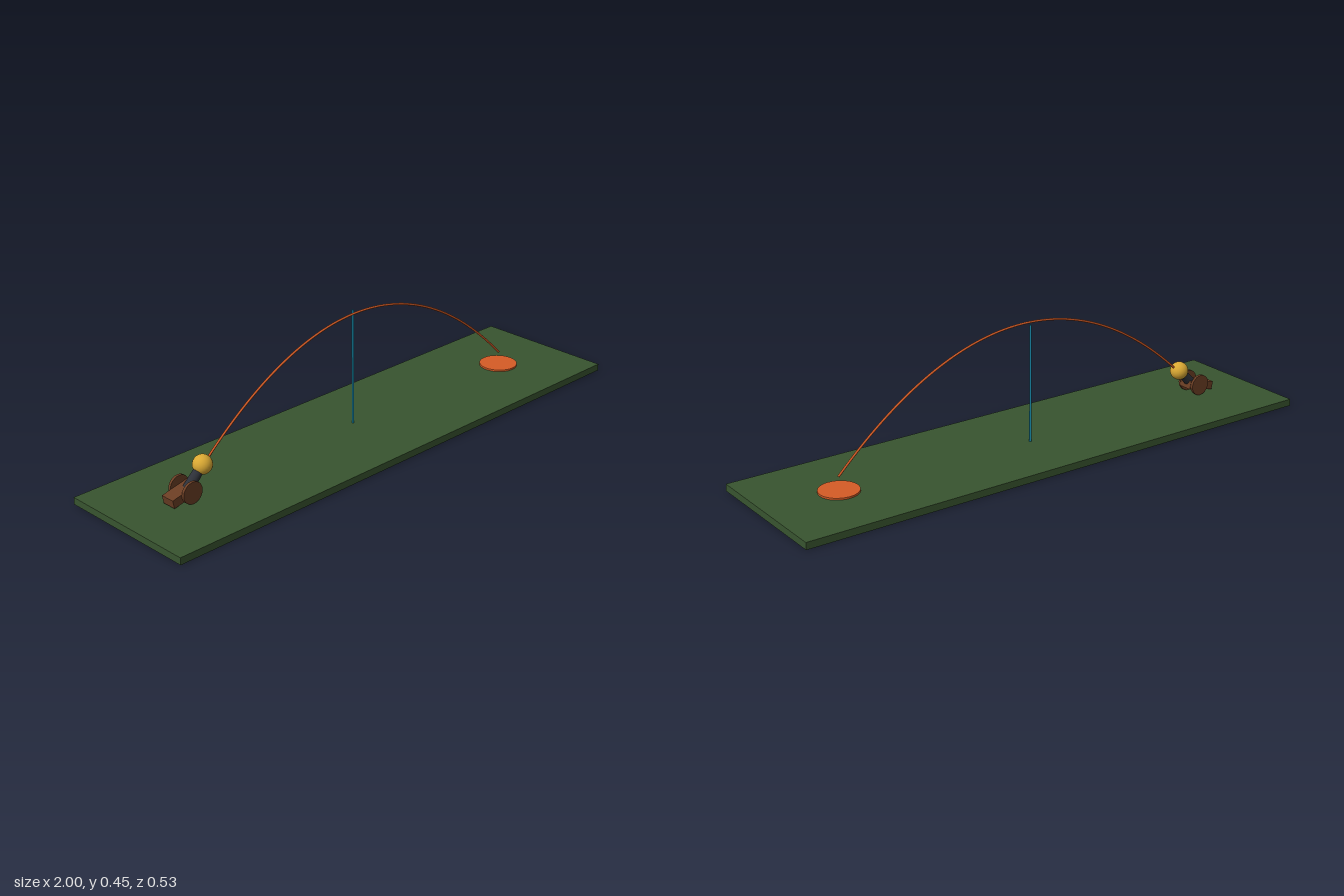
import * as THREE from 'three';

const mat = (name, color) => {
  const m = new THREE.MeshStandardMaterial({ color });
  m.name = name;
  return m;
};

export function createModel() {
  const green = mat('field green', 0x38542f);
  const orange = mat('orange', 0xd65c26);
  const brown = mat('wood brown', 0x6b3e24);
  const iron = mat('dark iron', 0x2d3038);
  const gold = mat('gold', 0xd9a833);
  const teal = mat('teal', 0x1688a8);

  const model = new THREE.Group();
  model.name = 'projectileDemo';
  const add = (name, geometry, material, x, y, z, parent = model) => {
    const mesh = new THREE.Mesh(geometry, material);
    mesh.name = name;
    mesh.position.set(x, y, z);
    parent.add(mesh);
    return mesh;
  };

  // Ground slab and landing target
  add('base', new THREE.BoxGeometry(2, 0.025, 0.526), green, 0, 0.0125, 0);
  add('target', new THREE.CylinderGeometry(0.069, 0.069, 0.007, 32), orange, 0.735, 0.028, 0);

  // Height marker behind the top of the arc
  add('heightPole', new THREE.CylinderGeometry(0.004, 0.004, 0.418, 12), teal, 0, 0.234, -0.026);

  // Parabolic flight path
  const points = [];
  const startX = -0.69, endX = 0.735;
  for (let i = 0; i <= 40; i++) {
    const x = startX + (endX - startX) * i / 40;
    points.push(new THREE.Vector3(x, 0.443 - 0.681 * x * x, 0));
  }
  const path = new THREE.CatmullRomCurve3(points);
  const arc = add('trajectory', new THREE.TubeGeometry(path, 96, 0.004, 8), orange, 0, 0, 0);
  // Close the landing end of the tube
  const cap = add('trajectoryEnd', new THREE.CircleGeometry(0.004, 8), orange, 0, 0, 0, arc);
  cap.position.copy(points[40]);
  cap.lookAt(points[40].clone().add(path.getTangent(1)));

  // Cannon: tilted carriage, two wheels and an angled barrel
  const cannon = new THREE.Group();
  cannon.name = 'cannon';
  model.add(cannon);
  const carriage = add('carriage', new THREE.BoxGeometry(0.11, 0.03, 0.053), brown, -0.778, 0.056, 0, cannon);
  carriage.rotation.z = 0.21;
  for (const side of [-1, 1]) {
    const wheel = add('wheel', new THREE.CylinderGeometry(0.038, 0.038, 0.01, 24), brown, -0.762, 0.064, side * 0.033, cannon);
    wheel.rotation.x = Math.PI / 2;
  }
  const barrel = add('barrel', new THREE.CylinderGeometry(0.016, 0.019, 0.1, 20), iron, -0.727, 0.088, 0, cannon);
  barrel.rotation.z = -Math.PI / 4;

  // Ball leaving the muzzle
  add('ball', new THREE.SphereGeometry(0.033, 24, 16), gold, -0.69, 0.125, 0);

  return model;
}
